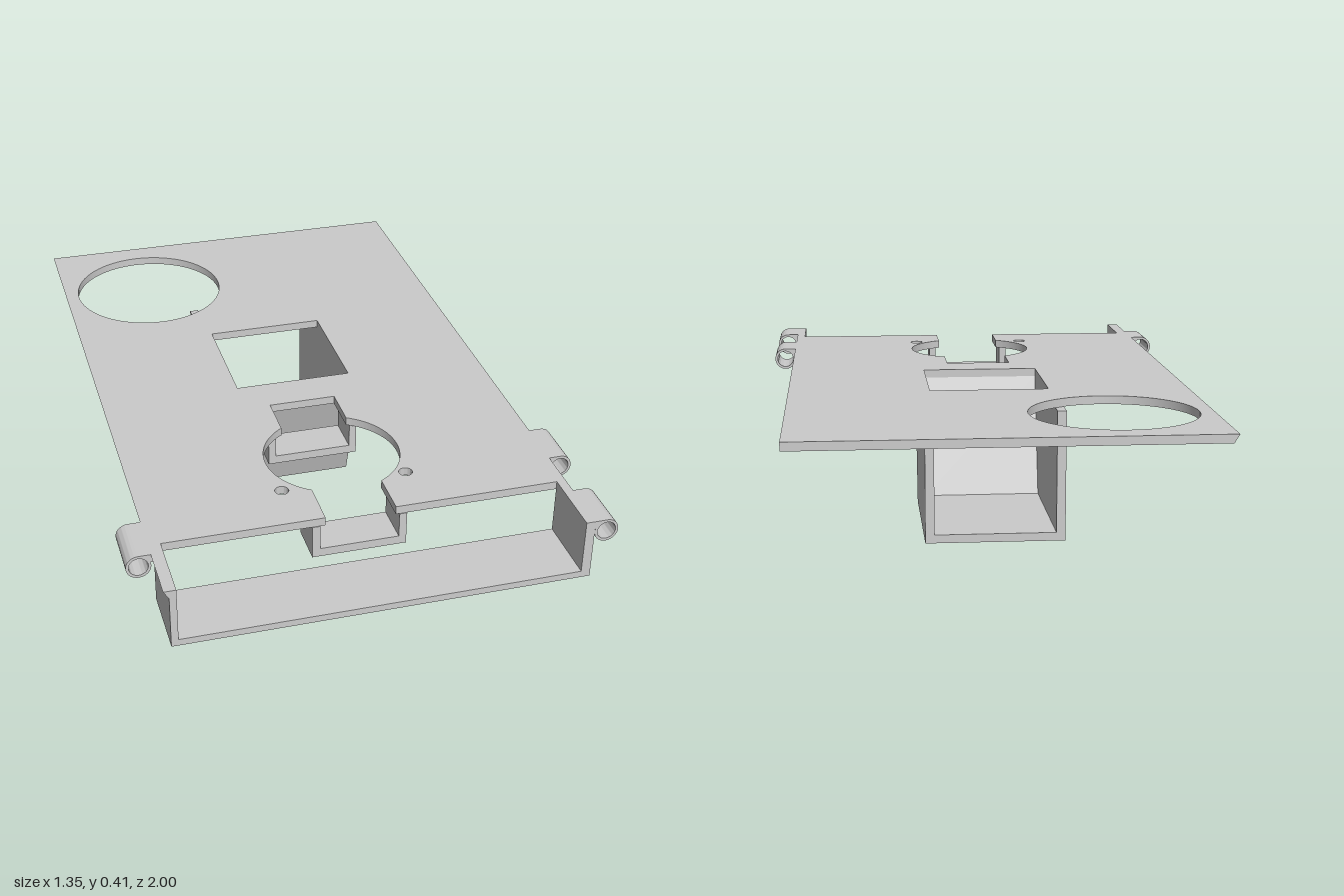
import * as THREE from 'three';
import { toCreasedNormals } from 'three/addons/utils/BufferGeometryUtils.js';

const TOP = 0.415, UNDER = 0.39;

export function createModel() {
  const model = new THREE.Group();
  const material = new THREE.MeshStandardMaterial({ color: 0xcccccc });

  const add = (name, geometry) => {
    const mesh = new THREE.Mesh(toCreasedNormals(geometry, 0.5), material);
    mesh.name = name;
    model.add(mesh);
  };
  const extrude = (shape, depth) =>
    new THREE.ExtrudeGeometry(shape, { depth, bevelEnabled: false, curveSegments: 48 });
  const polygon = (points) => new THREE.Shape(points.map(([x, y]) => new THREE.Vector2(x, y)));
  // Outline in (x, y), swept from z0 to z1
  const sweepZ = (name, points, z0, z1) =>
    add(name, extrude(polygon(points), z1 - z0).translate(0, 0, z0));
  // Outline in (z, y), swept from x0 to x1
  const sweepX = (name, points, x0, x1) =>
    add(name, extrude(polygon(points), x1 - x0).rotateY(-Math.PI / 2).translate(x1, 0, 0));

  // Plate outline in (x, z): front cut-out and round opening with two notches
  const r = 0.2, cz = 0.48, notchL = -0.107, notchR = 0.097;
  const a = Math.acos(notchR / r), b = Math.acos(-notchL / r);
  const plate = new THREE.Shape();
  plate.moveTo(-0.605, -1);
  plate.lineTo(0.605, -1);
  plate.lineTo(0.605, 1);
  plate.lineTo(0.578, 1);
  plate.lineTo(0.578, 0.79);
  plate.lineTo(notchR, 0.79);
  plate.absarc(0, cz, r, a, -a, true);
  plate.lineTo(notchR, 0.175);
  plate.lineTo(notchL, 0.175);
  plate.absarc(0, cz, r, Math.PI + b, Math.PI - b, true);
  plate.lineTo(notchL, 0.79);
  plate.lineTo(-0.57, 0.79);
  plate.lineTo(-0.57, 1);
  plate.lineTo(-0.605, 1);

  // Large round hole and two screw holes
  for (const [x, z, radius] of [[-0.32, -0.68, 0.243], [-0.19, 0.63, 0.02], [0.178, 0.63, 0.02]]) {
    plate.holes.push(new THREE.Path().absarc(x, z, radius, 0, Math.PI * 2, true));
  }
  // Rectangular hole above the duct
  plate.holes.push(polygon([[-0.18, -0.31], [-0.18, 0.05], [0.18, 0.05], [0.18, -0.31]]));

  const plateGeometry = extrude(plate, TOP - UNDER).rotateX(Math.PI / 2).translate(0, TOP, 0);
  // The right edge slopes inwards towards the underside
  const p = plateGeometry.attributes.position;
  for (let i = 0; i < p.count; i++) {
    if (p.getX(i) < -0.6 && p.getY(i) < 0.4) p.setX(i, -0.59);
  }
  add('plate', plateGeometry);

  // Front tray: open frame below the cut-out
  sweepZ('frontTray', [
    [-0.59, UNDER], [-0.59, 0.23], [0.605, 0.23], [0.605, UNDER],
    [0.578, UNDER], [0.578, 0.25], [-0.57, 0.25], [-0.57, UNDER],
  ], 0.79, 1);

  // U-shaped brackets under both notches
  for (const [name, z0, z1] of [['rearBracket', 0.185, 0.305], ['frontBracket', 0.67, 0.792]]) {
    sweepZ(name, [
      [-0.145, UNDER], [-0.145, 0.288], [0.13, 0.288], [0.13, UNDER],
      [0.108, UNDER], [0.108, 0.314], [-0.122, 0.314], [-0.122, UNDER],
    ], z0, z1);
  }

  // Duct: open at the back, with a sloping front wall
  const ductSide = [[0.083, UNDER], [-0.53, UNDER], [-0.53, 0], [-0.035, 0]];
  sweepX('ductRightWall', ductSide, -0.207, -0.18);
  sweepX('ductLeftWall', ductSide, 0.18, 0.207);
  sweepX('ductFloorAndFront', [
    [0.083, UNDER], [0.05, UNDER], [-0.06, 0.025], [-0.53, 0.025], [-0.53, 0], [-0.035, 0],
  ], -0.18, 0.18);

  // Hinge knuckles: a ring joined to the plate edge by a short web
  const knuckle = new THREE.Shape();
  knuckle.moveTo(-0.042, 0.035);
  knuckle.lineTo(0, 0.035);
  knuckle.absarc(0, 0, 0.035, Math.PI / 2, -Math.PI - 0.29, true);
  knuckle.lineTo(-0.042, 0.01);
  knuckle.holes.push(new THREE.Path().absarc(0, 0, 0.027, 0, Math.PI * 2, false));
  for (const [side, z0, z1] of [[1, 0.515, 0.67], [1, 0.842, 1], [-1, 0.678, 0.832]]) {
    const geometry = extrude(knuckle, z1 - z0).translate(0, 0, (z0 - z1) / 2);
    if (side < 0) geometry.rotateY(Math.PI);
    add('hingeKnuckle', geometry.translate(side * 0.64, 0.38, (z0 + z1) / 2));
  }

  return model;
}
